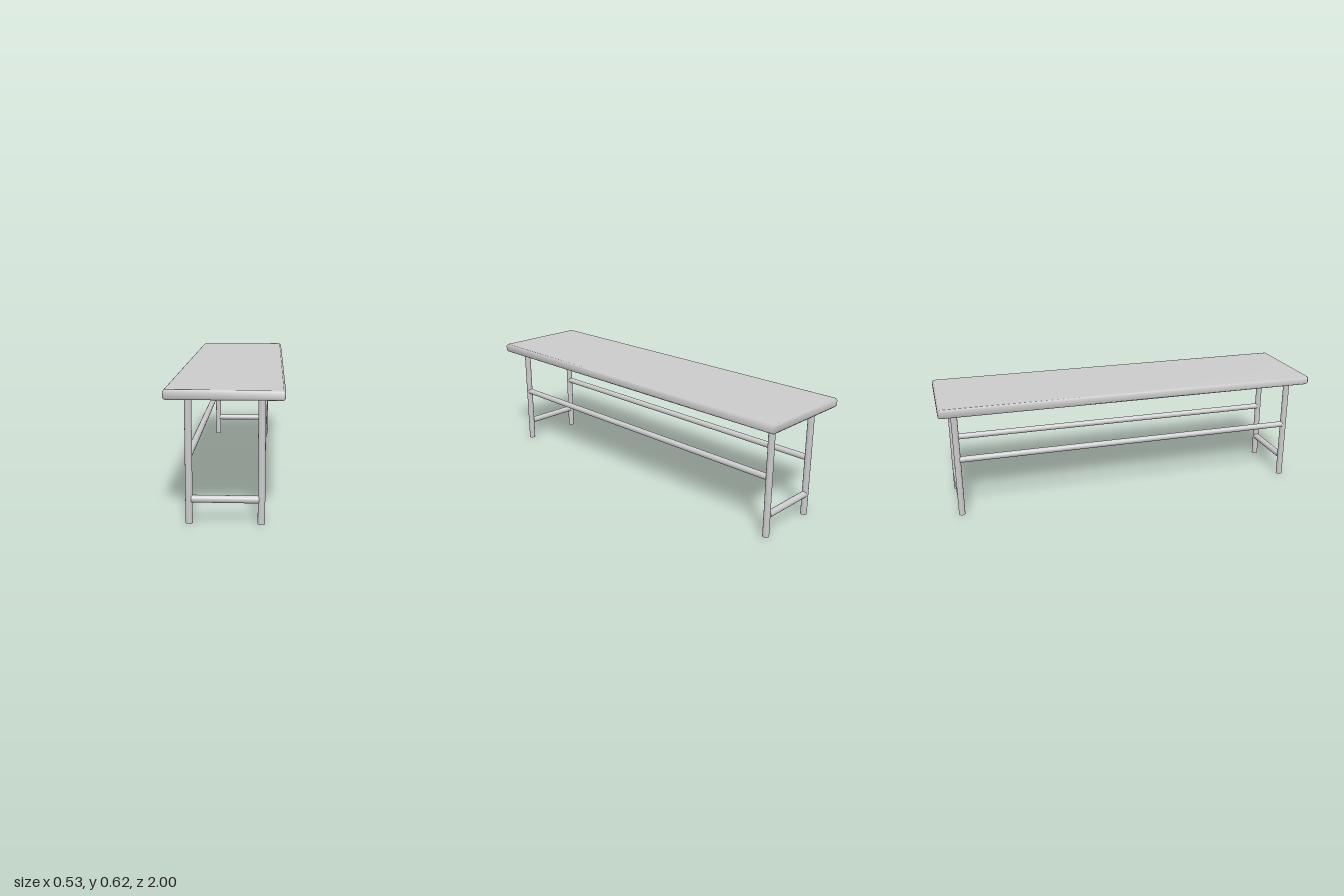
import * as THREE from 'three';
import { mergeVertices } from 'three/addons/utils/BufferGeometryUtils.js';

const material = new THREE.MeshStandardMaterial({ color: 0xcccccc });

function addMesh(parent, name, geometry) {
  const mesh = new THREE.Mesh(geometry, material);
  mesh.name = name;
  parent.add(mesh);
  return mesh;
}

// Round tube of the given length along the y, x or z axis
function addTube(parent, name, radius, length, axis, x, y, z) {
  const tube = addMesh(parent, name, new THREE.CylinderGeometry(radius, radius, length, 20));
  if (axis === 'x') tube.rotation.z = Math.PI / 2;
  if (axis === 'z') tube.rotation.x = Math.PI / 2;
  tube.position.set(x, y, z);
}

// Plank with a narrow bevel on every edge and soft, averaged normals
function plankGeometry(halfWidth, halfLength, bottom, top, bevel) {
  const w = halfWidth - bevel, l = halfLength - bevel, c = 0.004;
  const shape = new THREE.Shape([
    [w, l - c], [w - c, l], [c - w, l], [-w, l - c],
    [-w, c - l], [c - w, -l], [w - c, -l], [w, c - l],
  ].map(([x, y]) => new THREE.Vector2(x, y)));
  const geometry = new THREE.ExtrudeGeometry(shape, {
    depth: top - bottom - 2 * bevel,
    bevelEnabled: true, bevelThickness: bevel, bevelSize: bevel, bevelSegments: 1,
  });
  geometry.rotateX(-Math.PI / 2).translate(0, bottom + bevel, 0);
  geometry.deleteAttribute('uv');
  geometry.deleteAttribute('normal');
  const smooth = mergeVertices(geometry, 1e-4);
  smooth.computeVertexNormals();
  return smooth;
}

export function createModel() {
  const bench = new THREE.Group();
  bench.name = 'bench';
  const legX = 0.162, legZ = 0.92, legTop = 0.58;

  addMesh(bench, 'seat', plankGeometry(0.263, 1, 0.572, 0.617, 0.0085));

  // Two end frames: a pair of legs joined by a low crossbar
  for (const end of [1, -1]) {
    const endName = end > 0 ? 'front' : 'back';
    for (const side of [1, -1]) {
      const sideName = side > 0 ? 'Left' : 'Right';
      addTube(bench, `${endName}${sideName}Leg`, 0.0165, legTop, 'y', side * legX, legTop / 2, end * legZ);
    }
    addTube(bench, `${endName}Crossbar`, 0.0172, 0.302, 'x', 0, 0.113, end * legZ);
  }

  // Long rails joining the end frames
  for (const side of [1, -1]) {
    addTube(bench, side > 0 ? 'leftRail' : 'rightRail', 0.016, 1.82, 'z', side * legX, 0.31, 0);
  }
  return bench;
}
